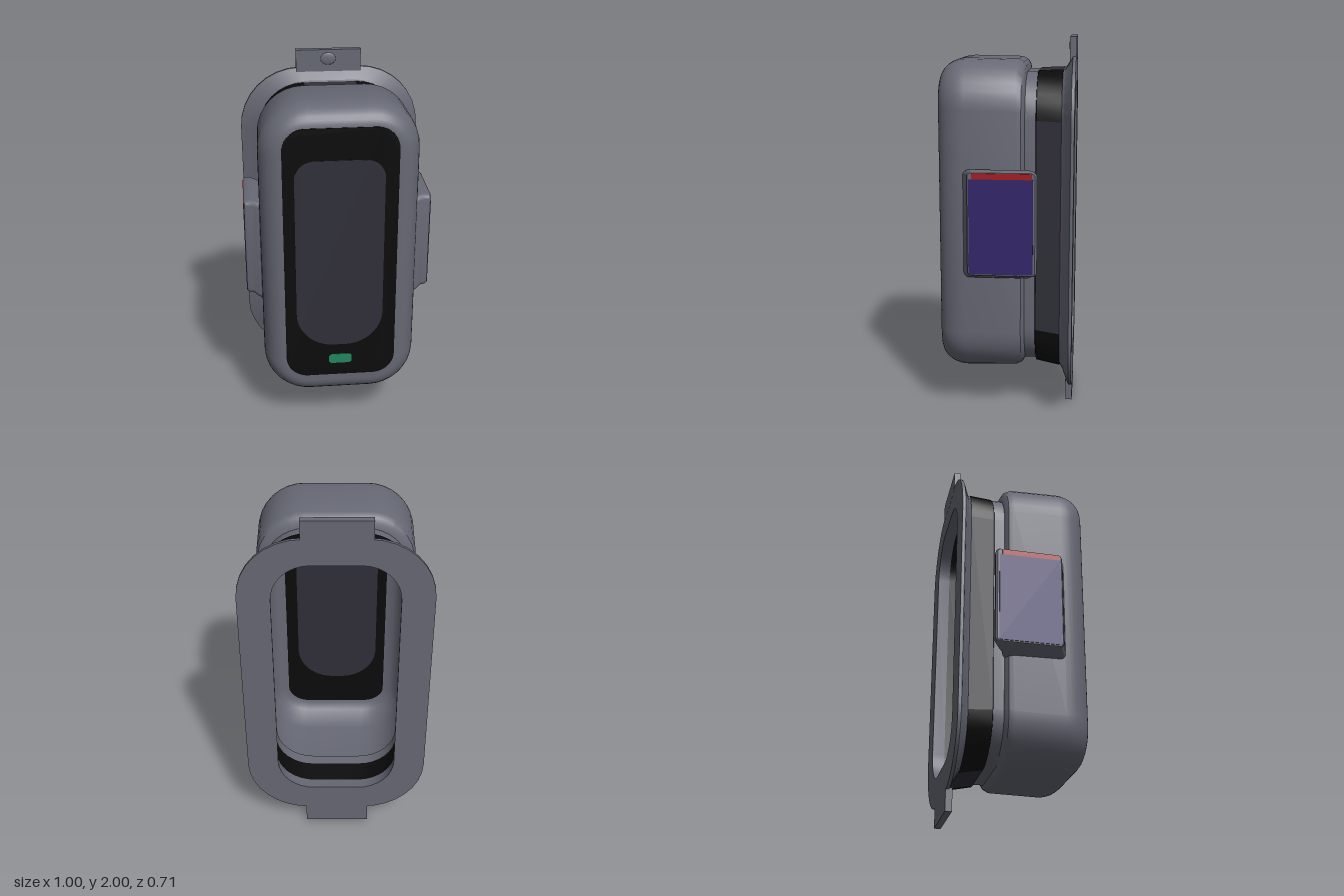
import * as THREE from 'three';
import { toCreasedNormals } from 'three/addons/utils/BufferGeometryUtils.js';

const material = (name, color) => {
  const m = new THREE.MeshStandardMaterial({ color });
  m.name = name;
  return m;
};
const N = 8; // segments per rounded corner

// Rounded rectangle, counter-clockwise, at depth z
function section(z, hw, hh, r, cy = 1.05, cx = 0) {
  const pts = [];
  r = Math.max(0, Math.min(r, hw, hh));
  [[1, 1], [-1, 1], [-1, -1], [1, -1]].forEach(([sx, sy], q) => {
    for (let i = 0; i <= N; i++) {
      const a = (q + i / N) * Math.PI / 2;
      pts.push([cx + sx * (hw - r) + r * Math.cos(a), cy + sy * (hh - r) + r * Math.sin(a), z]);
    }
  });
  return pts;
}

// Skin over a run of sections; keep() picks which columns are built
function loft(sections, keep = () => true, crease = 0.6) {
  const n = sections[0].length, index = [];
  for (let j = 0; j < sections.length - 1; j++) {
    for (let i = 0; i < n; i++) {
      if (!keep(i)) continue;
      const a = j * n + i, b = j * n + (i + 1) % n, c = a + n, d = b + n;
      index.push(a, c, b, b, c, d);
    }
  }
  const g = new THREE.BufferGeometry();
  g.setAttribute('position', new THREE.Float32BufferAttribute(sections.flat(2), 3));
  g.setIndex(index);
  return toCreasedNormals(g, crease);
}

// Thin rounded plate between y0 and y1, with separate bottom and top radii
function plate(x0, x1, y0, y1, rb, rt, depth = 0.005) {
  const s = new THREE.Shape();
  s.moveTo(x0 + rb, y0);
  s.lineTo(x1 - rb, y0);
  s.absarc(x1 - rb, y0 + rb, rb, -Math.PI / 2, 0);
  s.absarc(x1 - rt, y1 - rt, rt, 0, Math.PI / 2);
  s.absarc(x0 + rt, y1 - rt, rt, Math.PI / 2, Math.PI);
  s.absarc(x0 + rb, y0 + rb, rb, Math.PI, Math.PI * 1.5);
  return new THREE.ExtrudeGeometry(s, { depth, bevelEnabled: false, curveSegments: 10 });
}

export function createModel() {
  const group = new THREE.Group();
  const grey = material('casing grey', 0x666874);
  const dark = material('dark slate', 0x302f39);
  const black = material('gloss black', 0x0b0b0b);
  const indigo = material('indigo', 0x32246a);
  const green = material('indicator green', 0x23875f);
  const red = material('red', 0xa51a1a);
  const add = (name, geometry, mat, parent = group, x = 0, y = 0, z = 0) => {
    const mesh = new THREE.Mesh(geometry, mat);
    mesh.name = name;
    mesh.position.set(x, y, z);
    parent.add(mesh);
    return mesh;
  };

  // Outer casing: flat front, rounded front edge, straight sides, stepped neck
  const outer = [section(0.355, 0.001, 0.001, 0)];
  for (let i = 0; i <= 8; i++) {
    const a = (1 - i / 8) * Math.PI / 2, c = Math.cos(a);
    outer.push(section(0.215 + 0.14 * Math.sin(a), 0.3 + 0.115 * c, 0.735 + 0.105 * c, 0.13 + 0.12 * c));
  }
  outer.push(
    section(-0.05, 0.41, 0.835, 0.25),
    section(-0.08, 0.402, 0.82, 0.245),
    section(-0.093, 0.385, 0.8, 0.235),
    section(-0.098, 0.372, 0.785, 0.23, 1.035),
    section(-0.16, 0.37, 0.785, 0.23, 1.035),
  );
  add('casing', loft(outer), grey);

  // Sealing band: dark straights, black corners
  const band = [
    section(-0.153, 0.37, 0.785, 0.24, 1.035),
    section(-0.157, 0.378, 0.795, 0.24, 1.03),
    section(-0.285, 0.393, 0.81, 0.25, 1.02),
  ];
  const corner = i => i % (N + 1) < N;
  add('bandStraights', loft(band, i => !corner(i)), dark);
  add('bandCorners', loft(band, corner), black);

  // Mounting flange with its opening
  add('flange', loft([
    section(-0.283, 0.385, 0.805, 0.25, 1.02),
    section(-0.297, 0.4, 0.82, 0.26, 1.015),
    section(-0.33, 0.488, 0.885, 0.33, 1.005),
    section(-0.335, 0.495, 0.895, 0.335, 1.005),
    section(-0.352, 0.495, 0.895, 0.335, 1.005),
    section(-0.352, 0.325, 0.745, 0.2, 1.01),
    section(-0.285, 0.335, 0.755, 0.21, 1.015),
  ], undefined, 0.4), grey);

  // Hollow inside
  add('innerBand', loft([
    section(-0.285, 0.335, 0.755, 0.21, 1.015),
    section(-0.16, 0.345, 0.76, 0.21, 1.03),
  ]), black);
  add('innerWall', loft([
    section(-0.16, 0.345, 0.76, 0.21, 1.03),
    section(-0.1, 0.345, 0.76, 0.21, 1.035),
    section(-0.08, 0.385, 0.81, 0.23),
    section(0.2, 0.39, 0.815, 0.23),
    section(0.27, 0.37, 0.8, 0.21),
    section(0.315, 0.335, 0.765, 0.17),
    section(0.335, 0.28, 0.72, 0.12),
    section(0.335, 0.001, 0.001, 0),
  ]), grey);

  // Front panel, screen and indicator; panel and screen also show inside
  for (const [side, zPanel, zScreen] of [['front', 0.352, 0.354], ['inner', 0.331, 0.328]]) {
    add(side + 'Panel', plate(-0.298, 0.295, 0.35, 1.79, 0.12, 0.12), black, group, 0, 0, zPanel);
    add(side + 'Screen', plate(-0.238, 0.225, 0.545, 1.62, 0.2, 0.1), dark, group, 0, 0, zScreen);
  }
  add('indicator', plate(-0.065, 0.06, 0.425, 0.483, 0.018, 0.018), green, group, 0, 0, 0.354);

  // Mounting tabs with small bosses
  for (const [name, y, bossY, size] of [['upper', 1.94, 1.95, 0.042], ['lower', 0.06, 0.04, 0.02]]) {
    add(name + 'Tab', new THREE.BoxGeometry(0.355, 0.12, 0.035), grey, group, -0.005, y, -0.335);
    const boss = add(name + 'Boss', new THREE.SphereGeometry(1, 20, 12), grey, group, -0.007, bossY, -0.318);
    boss.scale.set(size, size * 0.8, 0.008);
  }

  // Side blocks with coloured faces, lofted outward and turned to each side
  for (const side of [1, -1]) {
    const block = new THREE.Group();
    block.name = side > 0 ? 'leftBlock' : 'rightBlock';
    block.rotation.y = side * Math.PI / 2;
    group.add(block);
    const slice = (x, z0, z1, y0, y1, r) =>
      section(x, (z1 - z0) / 2, (y1 - y0) / 2, r, (y0 + y1) / 2, -side * (z0 + z1) / 2);
    add('blockBody', loft([
      slice(0.494, 0.009, 0.011, 1.069, 1.071, 0),
      slice(0.494, -0.16, 0.183, 0.802, 1.335, 0.02),
      slice(0.485, -0.17, 0.19, 0.797, 1.34, 0.025),
      slice(0.46, -0.168, 0.192, 0.79, 1.342, 0.03),
      slice(0.435, -0.145, 0.208, 0.775, 1.342, 0.03),
      slice(0.405, -0.12, 0.22, 0.765, 1.335, 0.03),
      slice(0.37, -0.108, 0.225, 0.76, 1.33, 0.03),
    ]), grey, block);
    const [u0, u1] = side > 0 ? [-0.178, 0.15] : [-0.15, 0.178];
    add('blockFace', plate(u0, u1, 0.808, 1.302, 0.008, 0.002), indigo, block, 0, 0, 0.493);
    add('blockTrim', plate(u0 + 0.015, u1 - 0.005, 1.302, 1.332, 0.002, 0.006), red, block, 0, 0, 0.493);
  }
  return group;
}
